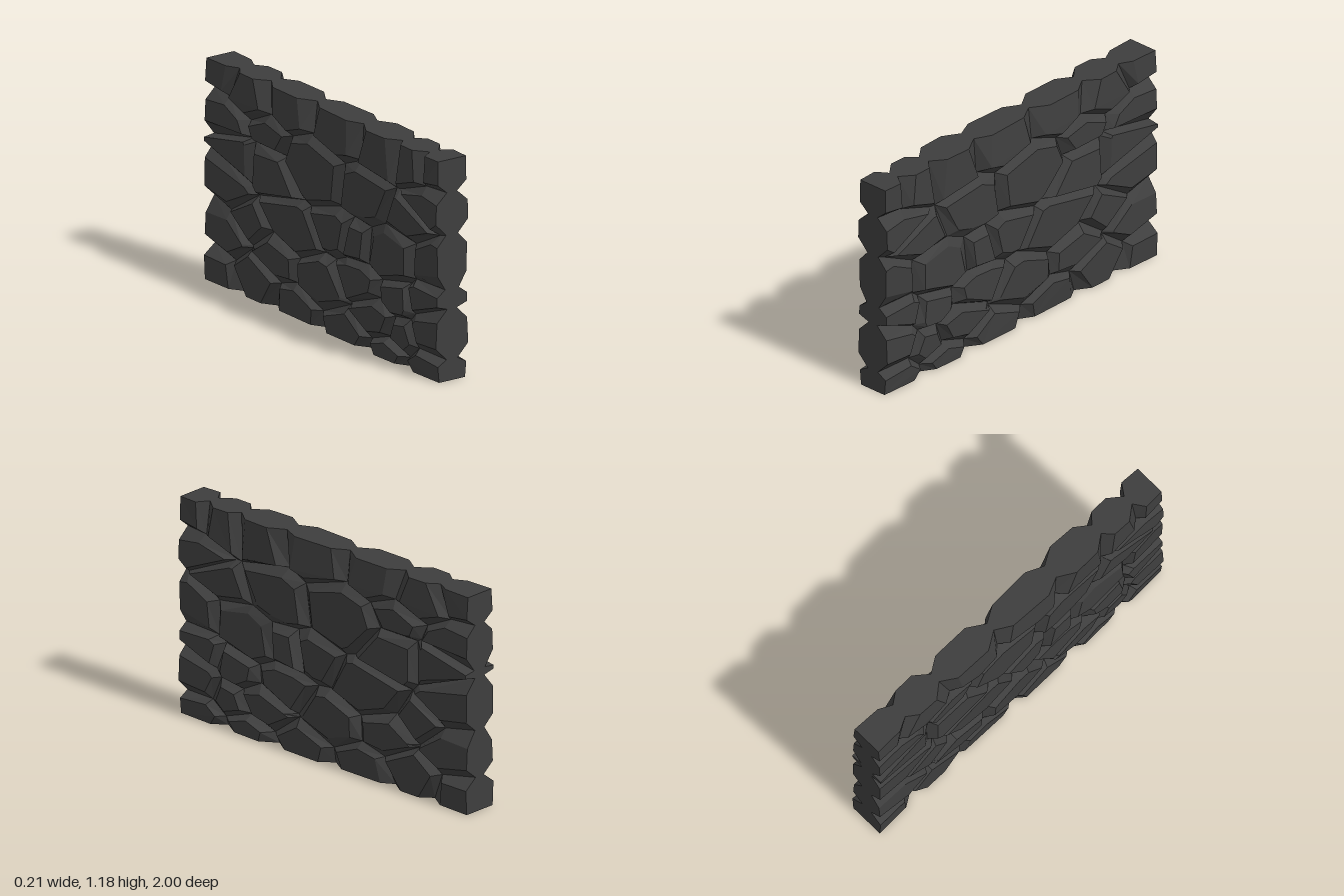
import * as THREE from 'three';

const H = 1.18;            // wall height
const SZ = 0.55, SY = 1.35; // stones are stretched along the wall

// Stones: z, y, relative size
const STONES = [
  [.95, 1.1, .09], [.75, 1.09, .09], [.47, 1.09, .1], [.09, 1.1, .12], [-.32, 1.1, .1], [-.66, 1.07, .1], [-.93, 1.12, .08],
  [.89, .9, .08], [.73, .78, .08], [.33, .81, .12], [-.09, .82, .16], [-.47, .91, .06], [-.88, .88, .1],
  [-.44, .7, .12], [-.76, .74, .08], [.9, .6, .1], [.57, .55, .14], [.28, .54, .06], [.08, .55, .08],
  [-.29, .48, .14], [-.86, .55, .11], [-.65, .4, .08], [.84, .4, .05], [.92, .24, .1], [.62, .34, .08],
  [.3, .33, .1], [-.02, .24, .12], [-.43, .27, .1], [-.86, .29, .11], [.66, .16, .06], [.42, .19, .1],
  [.18, .07, .08], [-.25, .06, .08], [-.6, .12, .1], [-.9, .07, .07], [.88, .04, .05], [.55, .03, .05],
];

// Small seeded random generator
function seeded(seed) {
  let s = seed;
  return () => {
    s = (s * 16807) % 2147483647;
    return s / 2147483647;
  };
}

// The courses sag in the middle of the wall and rise to both ends
const sag = (z, y) => 0.1 * (z * z - 0.3) * 4 * y * (H - y) / (H * H);
const SITES = STONES.map(([z, y, r]) => [z, y - sag(z, y), r]);

// Keep the part of a convex polygon where f <= 0
function clip(poly, f) {
  const out = [];
  poly.forEach((p, i) => {
    const q = poly[(i + 1) % poly.length];
    const a = f(p), b = f(q);
    if (a <= 0) out.push(p);
    if ((a < 0 && b > 0) || (a > 0 && b < 0)) {
      const t = a / (a - b);
      out.push([p[0] + (q[0] - p[0]) * t, p[1] + (q[1] - p[1]) * t]);
    }
  });
  return out;
}

// Outline of one stone: its cell among all the others
function cellOutline(i) {
  const cost = ([z, y, r], p) => SZ * (p[0] - z) ** 2 + SY * (p[1] - y) ** 2 - r * r;
  let poly = [[1, 0], [-1, 0], [-1, H], [1, H]];
  SITES.forEach((s, j) => {
    if (j !== i) poly = clip(poly, p => cost(SITES[i], p) - cost(s, p));
  });
  return poly.map(([z, y]) => [z, y + sag(z, y)]);
}

const onEnd = p => Math.abs(Math.abs(p[0]) - 1) < 1e-5;
const onRim = p => p[1] < 1e-5 || Math.abs(p[1] - H) < 1e-5;

// Depth of the joints between stones, deeper where they reach the wall's border
function jointX(p) {
  const [z, y] = p;
  const middle = onEnd(p) || onRim(p) ? 0.034 : 0.05;
  return middle + 0.013 * Math.sin(z * 9 + y * 5) * Math.cos(y * 11 - z * 3);
}

// A bevelled stone running through the wall, the same on both faces
function stoneGeometry(outline, rand) {
  const n = outline.length;
  const cz = outline.reduce((s, p) => s + p[0], 0) / n;
  const cy = outline.reduce((s, p) => s + p[1], 0) / n;
  const tiltZ = (rand() - 0.5) * 0.09, tiltY = (rand() - 0.5) * 0.12;
  const height = 0.091 + rand() * 0.007;

  const base = outline.map(p => new THREE.Vector3(jointX(p), p[1], p[0]));
  const top = outline.map(p => {
    const dz = cz - p[0], dy = cy - p[1];
    const end = onEnd(p), rim = onRim(p);
    const corner = end && rim;
    // Border points slide along the border, the others move towards the middle
    const d = corner ? 1 : end ? Math.abs(dy) : rim ? Math.abs(dz) : Math.hypot(dz, dy);
    const reach = end || rim ? 0.06 + rand() * 0.04 : 0.036 + rand() * 0.03;
    const k = corner ? 0 : Math.min(reach, d * (end || rim ? 0.55 : 0.38)) / Math.max(d, 1e-4);
    const z = end ? p[0] : p[0] + dz * k;
    const y = rim ? p[1] : p[1] + dy * k;
    const lift = THREE.MathUtils.clamp(tiltZ * (z - cz) + tiltY * (y - cy), -0.014, 0.01);
    return new THREE.Vector3(height + lift - (rim ? 0.008 : 0), y, z);
  });

  const pos = [];
  const flip = v => new THREE.Vector3(-v.x, v.y, v.z);
  const tri = (a, b, c) => [a, b, c].forEach(v => pos.push(v.x, v.y, v.z));
  const both = (a, b, c) => {
    tri(a, b, c);
    tri(flip(c), flip(b), flip(a));
  };
  for (let i = 0; i < n; i++) {
    const j = (i + 1) % n;
    // Outer face
    if (i > 0 && i < n - 1) both(top[0], top[i], top[j]);
    // Bevel
    both(base[i], base[j], top[j]);
    both(base[i], top[j], top[i]);
    // Wall ends, top and bottom
    const a = outline[i], b = outline[j];
    const outside = (onEnd(a) && onEnd(b) && a[0] * b[0] > 0)
      || (onRim(a) && onRim(b) && Math.abs(a[1] - b[1]) < 1e-5);
    if (outside) {
      tri(flip(base[i]), flip(base[j]), base[j]);
      tri(flip(base[i]), base[j], base[i]);
    }
  }
  const geo = new THREE.BufferGeometry();
  geo.setAttribute('position', new THREE.Float32BufferAttribute(pos, 3));
  geo.computeVertexNormals();
  return geo;
}

export function createModel() {
  const wall = new THREE.Group();
  wall.name = 'stoneWall';
  const material = new THREE.MeshStandardMaterial({ color: 0x3e3e3e, flatShading: true });
  const rand = seeded(4127);
  STONES.forEach((_, i) => {
    const outline = cellOutline(i);
    if (outline.length < 3) return;
    const stone = new THREE.Mesh(stoneGeometry(outline, rand), material);
    stone.name = `stone${i + 1}`;
    wall.add(stone);
  });
  return wall;
}
